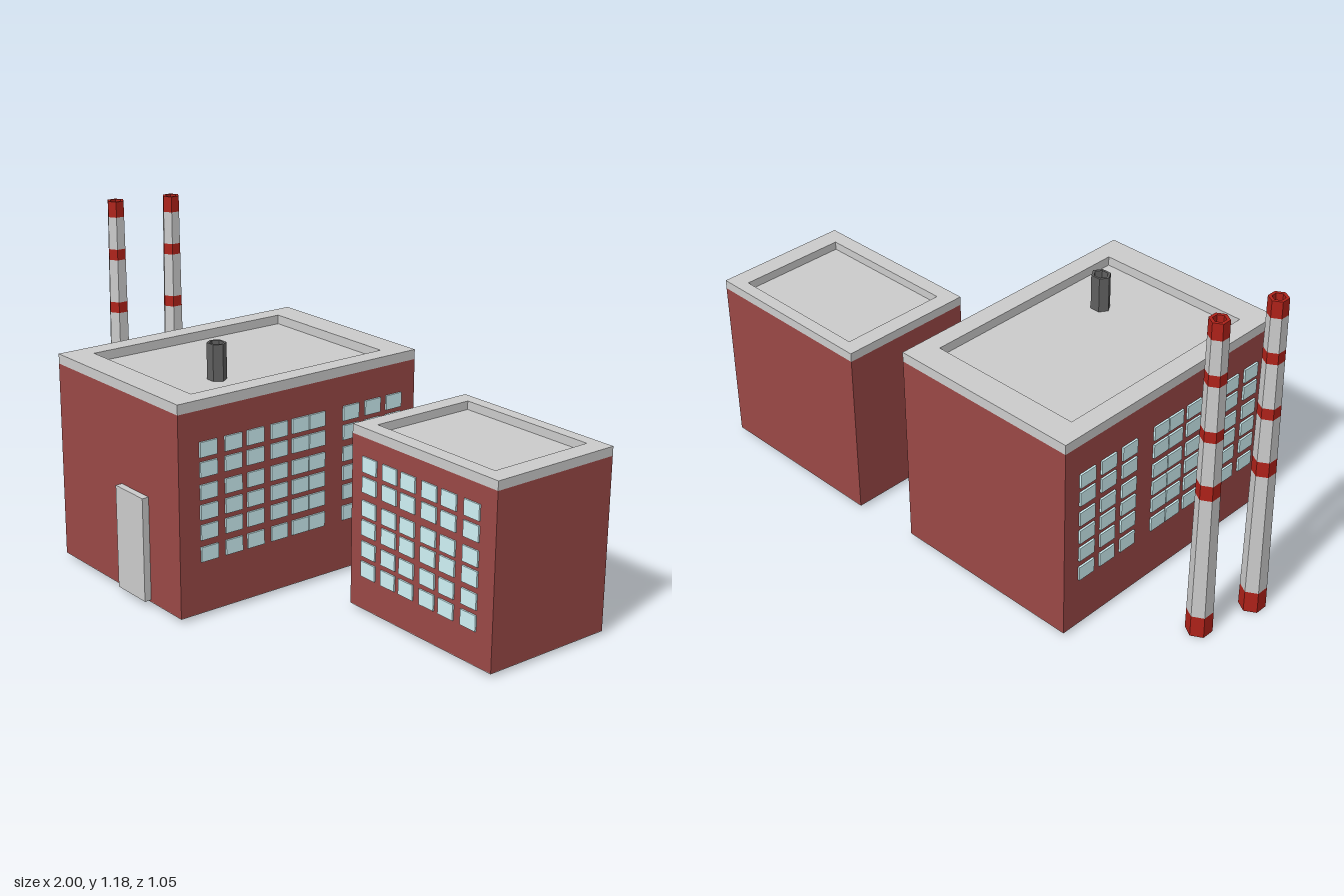
import * as THREE from 'three';

const mat = (color, side = THREE.FrontSide) =>
  new THREE.MeshStandardMaterial({ color, flatShading: true, side });
const GREY = mat(0xcccccc);
const BRICK = mat(0x9a4846);
const RED = mat(0xaf2219);
const GLASS = mat(0xd0f2f6);
const DARK = mat(0x606060);

function add(parent, name, geometry, material, x = 0, y = 0, z = 0) {
  const mesh = new THREE.Mesh(geometry, material);
  mesh.name = name;
  mesh.position.set(x, y, z);
  parent.add(mesh);
  return mesh;
}

// Box given by its extents on each axis
function block(parent, name, material, [x0, x1], [y0, y1], [z0, z1]) {
  return add(parent, name, new THREE.BoxGeometry(x1 - x0, y1 - y0, z1 - z0), material,
    (x0 + x1) / 2, (y0 + y1) / 2, (z0 + z1) / 2);
}

// Rectangle in plan; z is negated because the extrusion is laid flat
function trace(path, [x0, x1], [z0, z1]) {
  path.moveTo(x0, -z1);
  path.lineTo(x1, -z1);
  path.lineTo(x1, -z0);
  path.lineTo(x0, -z0);
  path.closePath();
  return path;
}

// Brick block with a grey underside, flat roof and raised parapet
function building(name, xs, zs, innerX, innerZ, roofY, topY) {
  const group = new THREE.Group();
  group.name = name;
  block(group, 'base', GREY, xs, [0.012, 0.014], zs);
  block(group, 'walls', BRICK, xs, [0.014, roofY - 0.002], zs);
  block(group, 'roof', GREY, xs, [roofY - 0.002, roofY], zs);
  const outline = trace(new THREE.Shape(), xs, zs);
  outline.holes.push(trace(new THREE.Path(), innerX, innerZ));
  const rim = new THREE.ExtrudeGeometry(outline, { depth: topY - roofY, bevelEnabled: false });
  rim.rotateX(-Math.PI / 2);
  add(group, 'parapet', rim, GREY, 0, roofY, 0);
  return group;
}

// Hollow tube with straight sides; profile runs up the outside and down the bore
function hollowTop(rBottom, rTop, rInner, y0, y1, floorY) {
  return new THREE.LatheGeometry([
    new THREE.Vector2(rBottom, y0), new THREE.Vector2(rTop, y1),
    new THREE.Vector2(rInner, y1), new THREE.Vector2(rInner, floorY),
  ], 6);
}

// Tapered six-sided stack with red bands
function chimney(name, x, z) {
  const group = new THREE.Group();
  group.name = name;
  group.position.set(x, 0, z);
  const radius = y => 0.045 - 0.0125 * y / 1.178;
  const levels = [0, 0.08, 0.545, 0.6, 0.76, 0.8, 0.96, 1, 1.12];
  for (let i = 0; i < levels.length - 1; i++) {
    const [a, b] = [levels[i], levels[i + 1]];
    const isRed = i % 2 === 0;
    const g = new THREE.CylinderGeometry(radius(b), radius(a), b - a, 6, 1, true);
    add(group, isRed ? 'redBand' : 'shaft', g, isRed ? RED : GREY, 0, (a + b) / 2, 0);
  }
  add(group, 'rim', hollowTop(radius(1.12), radius(1.178), 0.021, 1.12, 1.178, 1.13), RED);
  const disc = new THREE.CircleGeometry(1, 6, Math.PI / 2);
  const floor = add(group, 'flueFloor', disc, GREY, 0, 1.13, 0);
  floor.rotation.x = -Math.PI / 2;
  floor.scale.setScalar(0.021);
  const foot = add(group, 'underside', disc, GREY);
  foot.rotation.x = Math.PI / 2;
  foot.scale.setScalar(0.045);
  return group;
}

export function createModel() {
  const model = new THREE.Group();
  model.name = 'factory';

  // Main hall
  const hall = building('mainHall', [-0.625, 0.092], [-0.505, 0.5],
    [-0.555, 0.025], [-0.405, 0.4], 0.722, 0.755);
  model.add(hall);
  block(hall, 'door', GREY, [-0.245, -0.085], [0.02, 0.39], [0.49, 0.525]);

  // Window grids on both long sides of the hall
  const hallZ = [0.384, 0.284, 0.194, 0.095, 0.006, -0.066, -0.215, -0.312, -0.407];
  const hallY = [0.587, 0.518, 0.44, 0.37, 0.3, 0.223];
  for (const z of hallZ) {
    for (const y of hallY) {
      for (const [side, x] of [['left', 0.092], ['right', -0.625]]) {
        block(hall, side + 'Window', GLASS, [x - 0.007, x + 0.007],
          [y - 0.026, y + 0.026], [z - 0.034, z + 0.034]);
      }
    }
  }

  // Oval roof vent
  const vent = new THREE.Group();
  vent.name = 'roofVent';
  vent.position.set(-0.14, 0, 0.177);
  vent.scale.set(0.0365, 1, 0.0325);
  const ventTube = hollowTop(1, 1, 0.72, 0.72, 0.85, 0.74);
  ventTube.rotateY(Math.PI / 2);
  add(vent, 'ventPipe', ventTube, DARK);
  const ventFloor = add(vent, 'ventFloor', new THREE.CircleGeometry(0.72, 6), DARK, 0, 0.74, 0);
  ventFloor.rotation.x = -Math.PI / 2;
  hall.add(vent);

  // Smaller annex with windows at the front
  const annex = building('annex', [0.33, 1], [-0.525, -0.025],
    [0.39, 0.93], [-0.48, -0.08], 0.618, 0.648);
  model.add(annex);
  for (const x of [0.42, 0.518, 0.606, 0.705, 0.794, 0.896]) {
    for (const y of [0.525, 0.455, 0.373, 0.305, 0.23, 0.158]) {
      block(annex, 'frontWindow', GLASS, [x - 0.034, x + 0.034],
        [y - 0.027, y + 0.027], [-0.03, -0.019]);
    }
  }

  // Pair of chimneys
  model.add(chimney('frontChimney', -0.959, 0.036));
  model.add(chimney('backChimney', -0.911, -0.176));
  return model;
}
